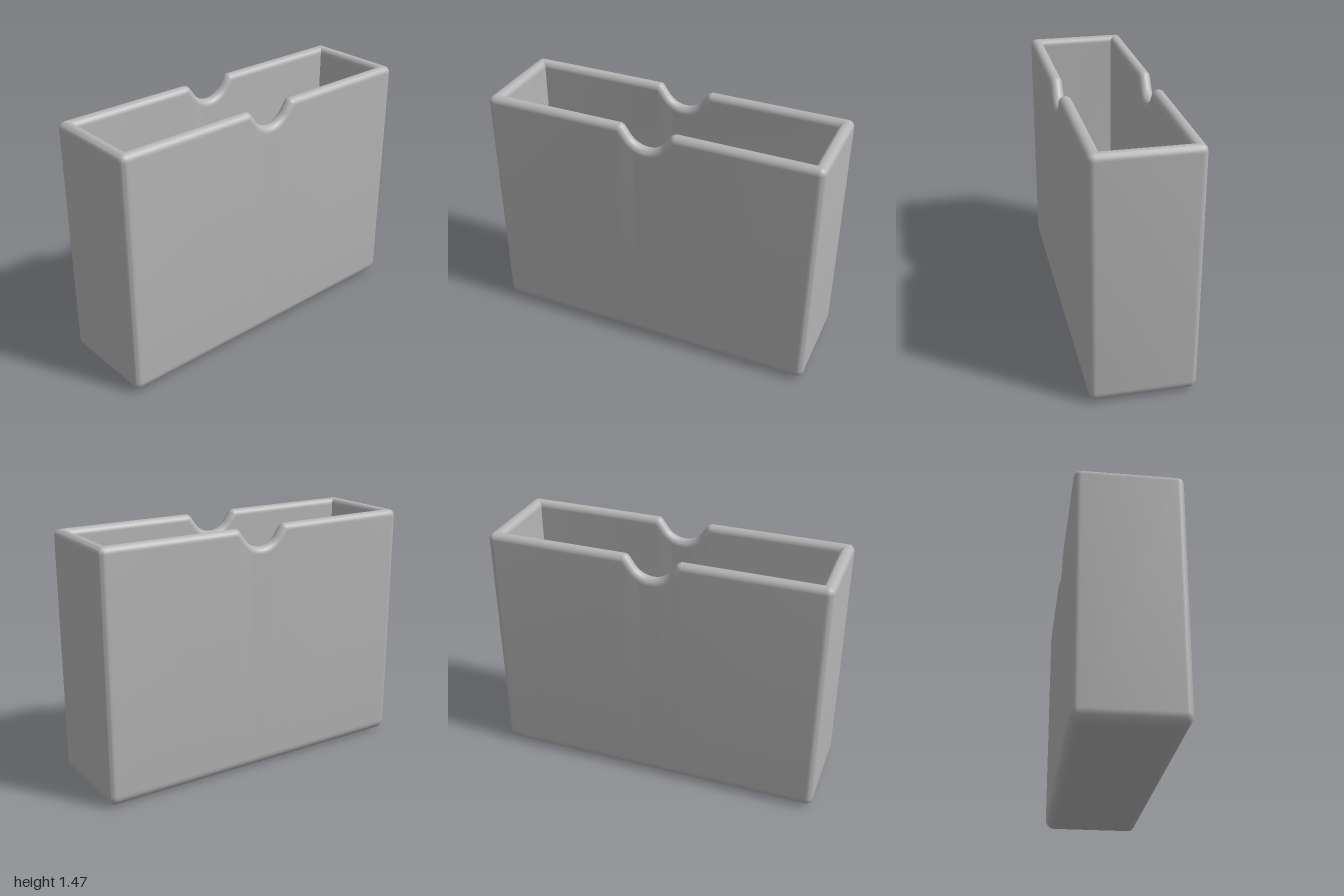
import * as THREE from 'three';
import { toCreasedNormals } from 'three/addons/utils/BufferGeometryUtils.js';

const W = 1, D = 0.302, H = 1.465;   // half width, half depth, height
const T = 0.075, R = T / 2;          // wall thickness, rim and corner radius
const FOOT = 0.07, FLOOR = 0.075, FILLET = 0.02;
const EPS = 0.004;                   // support loop that keeps flat faces flat

// Outline of the thumb notch: points with their upward normals, left to right
function notchPoints() {
  const a = THREE.MathUtils.degToRad(55), r = 0.13, s = 0.04, depth = 0.117;
  const half = [];
  for (let i = 0; i <= 8; i++) {
    const t = (a * i) / 8;
    half.push({ x: r * Math.sin(t), y: H - depth + r * (1 - Math.cos(t)), t });
  }
  const rise = depth - (r + s) * (1 - Math.cos(a));
  const end = (r + s) * Math.sin(a) + rise / Math.tan(a);
  for (let i = 6; i >= 0; i--) {
    const t = (a * i) / 6;
    half.push({ x: end - s * Math.sin(t), y: H - s * (1 - Math.cos(t)), t });
  }
  const right = half.map(p => ({ x: p.x, y: p.y, nx: -Math.sin(p.t), ny: Math.cos(p.t) }));
  const left = right.slice(1).reverse().map(p => ({ ...p, x: -p.x, nx: -p.nx }));
  return [...left, ...right];
}

// Stations around the box: front, right corners, then the same turned half round
function perimeter() {
  const half = [];
  const add = (x, z, dx, dz, y = H, nx = 0, ny = 1) => half.push({ x, z, dx, dz, y, nx, ny });
  const corner = (x, z, start) => {
    for (let i = 0; i <= 6; i++) {
      const t = start - (i / 6) * Math.PI / 2;
      add(x, z, Math.cos(t), Math.sin(t));
    }
  };
  add(-(W - R - EPS), D - R, 0, 1);
  notchPoints().forEach(p => add(p.x, D - R, 0, 1, p.y, p.nx, p.ny));
  add(W - R - EPS, D - R, 0, 1);
  corner(W - R, D - R, Math.PI / 2);
  add(W - R, D - R - EPS, 1, 0);
  add(W - R, -(D - R - EPS), 1, 0);
  corner(W - R, -(D - R), 0);
  const turned = half.map(s => ({ ...s, x: -s.x, z: -s.z, dx: -s.dx, dz: -s.dz, nx: -s.nx }));
  return [...half, ...turned];
}

// Wall section: d is the inset from the outside; y is a height, or rim a drop from the top
function wallSection() {
  const rows = [{ d: D, y: 0 }, { d: FOOT + EPS, y: 0 }];
  for (let i = 0; i <= 8; i++) {
    const t = (i / 8) * Math.PI / 2;
    rows.push({ d: FOOT * (1 - Math.sin(t)), y: FOOT * (1 - Math.cos(t)) });
  }
  rows.push({ d: 0, y: FOOT + EPS }, { d: 0, rim: R + 0.002 });
  for (let i = 0; i <= 12; i++) {
    const t = (i / 12) * Math.PI;
    rows.push({ d: R * (1 - Math.cos(t)), rim: R * (1 - Math.sin(t)) });
  }
  rows.push({ d: T, rim: R + 0.002 }, { d: T, y: FLOOR + FILLET + EPS });
  for (let i = 0; i <= 4; i++) {
    const t = (i / 4) * Math.PI / 2;
    rows.push({ d: T + FILLET * (1 - Math.cos(t)), y: FLOOR + FILLET * (1 - Math.sin(t)) });
  }
  rows.push({ d: T + FILLET + EPS, y: FLOOR }, { d: D, y: FLOOR });
  return rows;
}

function place(s, row) {
  const k = Math.max(R - row.d, 0);
  const drop = row.rim ?? R + 0.002;
  const fit = (v, m) => THREE.MathUtils.clamp(v, -m, m);
  return new THREE.Vector3(
    fit(s.x + s.dx * k - s.nx * drop, W - row.d),
    row.y ?? s.y - s.ny * drop,
    fit(s.z + s.dz * k, D - row.d));
}

function boxGeometry() {
  const rows = wallSection();
  const grid = perimeter().map(s => rows.map(row => place(s, row)));
  const pos = [];
  const tri = (a, b, c) => {
    const area = b.clone().sub(a).cross(c.clone().sub(a)).length();
    if (area > 1e-9) [a, b, c].forEach(v => pos.push(v.x, v.y, v.z));
  };
  grid.forEach((col, i) => {
    const next = grid[(i + 1) % grid.length];
    for (let j = 0; j < rows.length - 1; j++) {
      tri(col[j], next[j], next[j + 1]);
      tri(col[j], next[j + 1], col[j + 1]);
    }
  });
  const geo = new THREE.BufferGeometry();
  geo.setAttribute('position', new THREE.Float32BufferAttribute(pos, 3));
  return toCreasedNormals(geo, 0.6);
}

export function createModel() {
  const group = new THREE.Group();
  group.name = 'openBox';
  const grey = new THREE.MeshStandardMaterial({ color: 0xb4b4b4 });
  grey.name = 'grey';
  const shell = new THREE.Mesh(boxGeometry(), grey);
  shell.name = 'notchedBoxShell';
  group.add(shell);
  return group;
}
